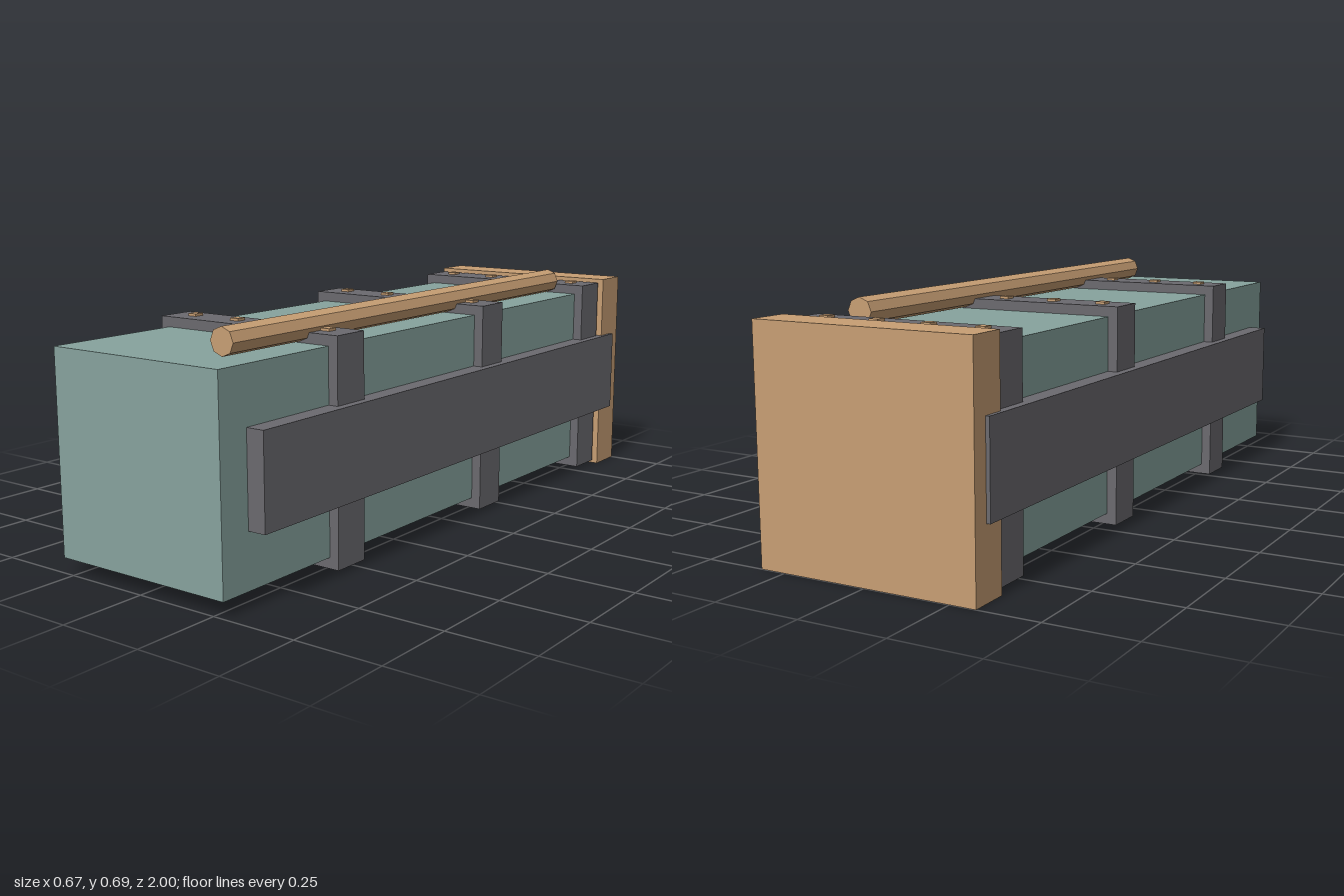
import * as THREE from 'three';

export function createModel() {
  const model = new THREE.Group();
  model.name = 'bandedBeam';

  const material = (name, color) => {
    const m = new THREE.MeshStandardMaterial({ color });
    m.name = name;
    return m;
  };
  const teal = material('paleTeal', 0x87a39e);
  const iron = material('darkGrey', 0x6b6a6f);
  const wood = material('tanWood', 0xc89f74);

  // Box given by its min and max corners
  const box = (name, mat, [x0, y0, z0], [x1, y1, z1], parent = model) => {
    const mesh = new THREE.Mesh(new THREE.BoxGeometry(x1 - x0, y1 - y0, z1 - z0), mat);
    mesh.position.set((x0 + x1) / 2, (y0 + y1) / 2, (z0 + z1) / 2);
    mesh.name = name;
    parent.add(mesh);
  };

  // Long block and its back plate
  box('body', teal, [-0.283, 0.043, -0.883], [0.283, 0.608, 1]);
  box('backPlate', wood, [-0.325, 0, -1], [0.325, 0.648, -0.883]);

  // Straps around the body, each with four studs on top
  for (const z of [0.53, -0.175, -0.813]) {
    const strap = new THREE.Group();
    strap.name = 'strap';
    model.add(strap);
    box('band', iron, [-0.312, 0.012, z - 0.057], [0.312, 0.637, z + 0.057], strap);
    for (const x of [-0.238, -0.08, 0.078, 0.236]) {
      box('stud', wood, [x - 0.014, 0.625, z - 0.018], [x + 0.014, 0.644, z + 0.012], strap);
    }
  }

  // Side planks
  box('leftPlank', iron, [0.283, 0.196, -0.95], [0.336, 0.454, 0.905]);
  box('rightPlank', iron, [-0.336, 0.196, -0.95], [-0.283, 0.454, 0.905]);

  // Eight-sided pole lying along the top
  const rod = new THREE.CylinderGeometry(0.0375, 0.0375, 1.624, 8).rotateX(Math.PI / 2).toNonIndexed();
  rod.computeVertexNormals();
  const pole = new THREE.Mesh(rod, wood);
  pole.name = 'pole';
  pole.position.set(0.187, 0.6485, 0.069);
  model.add(pole);

  return model;
}
